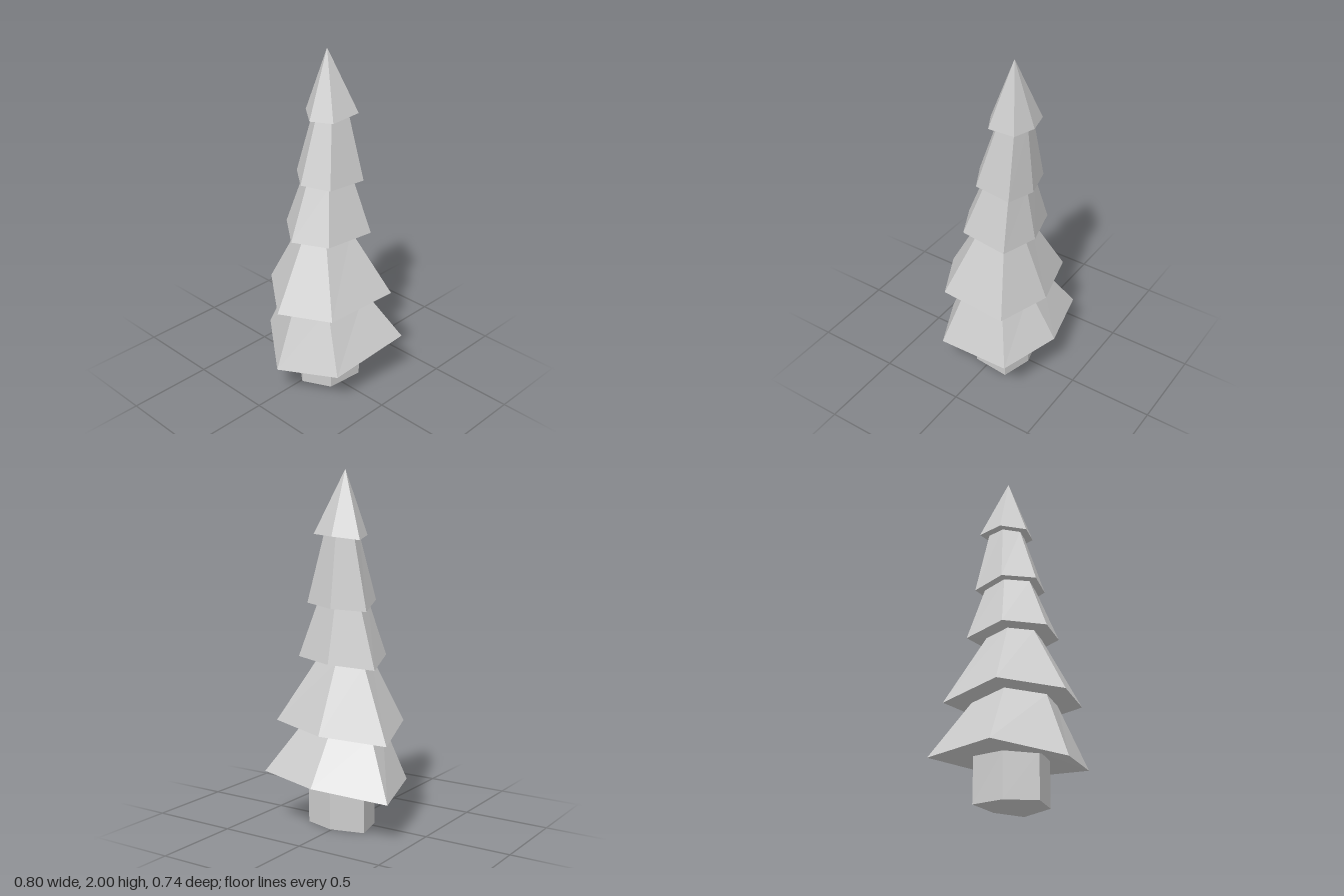
import * as THREE from 'three';

// Rim corners [x, y, z]: back, left back, left front, front, right front, right back
const RIMS = [
  [[0.015, 0.28, -0.37], [-0.403, 0.23, -0.255], [-0.305, 0.27, 0.12], [0.015, 0.19, 0.365], [0.34, 0.215, 0.205], [0.4, 0.3, -0.275]],
  [[0.01, 0.56, -0.302], [-0.359, 0.53, -0.194], [-0.275, 0.605, 0.13], [0.015, 0.56, 0.352], [0.298, 0.565, 0.207], [0.352, 0.595, -0.222]],
  [[0.005, 0.945, -0.216], [-0.249, 0.925, -0.14], [-0.189, 0.98, 0.08], [0.005, 0.965, 0.231], [0.2, 0.965, 0.134], [0.238, 0.965, -0.162]],
  [[0, 1.25, -0.196], [-0.195, 1.24, -0.138], [-0.15, 1.29, 0.032], [0.003, 1.283, 0.153], [0.152, 1.27, 0.075], [0.182, 1.27, -0.155]],
  [[-0.005, 1.64, -0.192], [-0.158, 1.623, -0.147], [-0.122, 1.645, -0.013], [0, 1.63, 0.08], [0.115, 1.63, 0.017], [0.135, 1.65, -0.157]],
];
// How far each rim's underside steps in to meet the tier below
const INSETS = [null, 0.62, 0.6, 0.74, 0.67];
const APEX = [-0.01, 2, -0.062];
const TRUNK = [[0.01, -0.19], [-0.185, -0.14], [-0.14, 0.04], [0.01, 0.16], [0.17, 0.08], [0.19, -0.14]];

const material = new THREE.MeshStandardMaterial({ color: 0xcccccc, flatShading: true });

const pointRing = (p) => Array(6).fill(p);

// Shrinks a ring towards its centre
function inset(ring, s) {
  const c = [0, 1, 2].map((k) => ring.reduce((sum, p) => sum + p[k], 0) / ring.length);
  return ring.map((p) => p.map((v, k) => c[k] + (v - c[k]) * s));
}

// Joins successive six-cornered rings with flat facets
function loft(name, rings) {
  const pos = [];
  for (let i = 0; i + 1 < rings.length; i++) {
    const a = rings[i], b = rings[i + 1];
    for (let j = 0; j < 6; j++) {
      const k = (j + 1) % 6;
      if (a[j] !== a[k]) pos.push(...a[j], ...a[k], ...b[k]);
      if (b[j] !== b[k]) pos.push(...a[j], ...b[k], ...b[j]);
    }
  }
  const geometry = new THREE.BufferGeometry();
  geometry.setAttribute('position', new THREE.Float32BufferAttribute(pos, 3));
  geometry.computeVertexNormals();
  const mesh = new THREE.Mesh(geometry, material);
  mesh.name = name;
  return mesh;
}

export function createModel() {
  const tree = new THREE.Group();
  tree.name = 'pineTree';

  // Six-sided trunk with a closed base
  const trunkAt = (y) => TRUNK.map(([x, z]) => [x, y, z]);
  const trunkTop = trunkAt(0.26);
  tree.add(loft('trunk', [pointRing([0, 0, -0.03]), trunkAt(0), trunkTop]));

  // Foliage tiers: underside, sloping skirt, then the step under the next tier
  const inner = RIMS.map((rim, i) => (i === 0 ? trunkTop : inset(rim, INSETS[i])));
  RIMS.forEach((rim, i) => {
    const top = inner[i + 1] ?? pointRing(APEX);
    tree.add(loft(`foliageTier${i + 1}`, [inner[i], rim, top]));
  });

  return tree;
}
